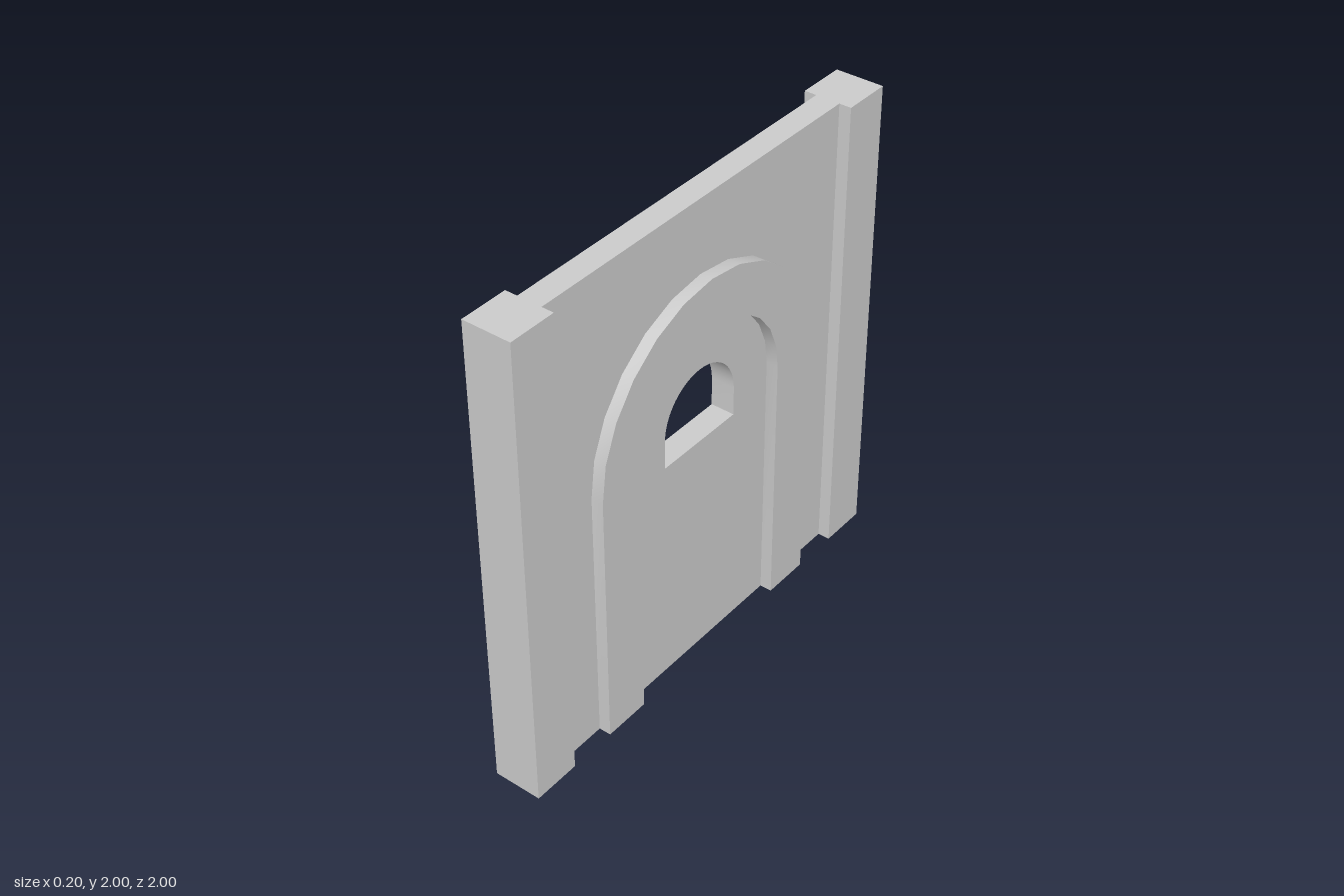
import * as THREE from 'three';
import { toCreasedNormals } from 'three/addons/utils/BufferGeometryUtils.js';

const SPRING = 1.1; // height where every arch starts to curve

export function createModel() {
  const group = new THREE.Group();
  const material = new THREE.MeshStandardMaterial({ color: 0xcccccc });

  const add = (name, geometry, x = 0, y = 0, z = 0) => {
    const mesh = new THREE.Mesh(geometry, material);
    mesh.name = name;
    mesh.position.set(x, y, z);
    group.add(mesh);
  };

  // Extrudes a (z, y) outline along x, centred on x = 0
  const slab = (shape, depth, curveSegments) => {
    const g = new THREE.ExtrudeGeometry(shape, { depth, curveSegments, bevelEnabled: false });
    g.translate(0, 0, -depth / 2).rotateY(-Math.PI / 2);
    return toCreasedNormals(g, 0.5);
  };

  // Wall panel with the arched window opening
  const wall = new THREE.Shape();
  wall.moveTo(-0.8, 0).lineTo(0.8, 0).lineTo(0.8, 2).lineTo(-0.8, 2).closePath();
  const opening = new THREE.Path();
  opening.moveTo(-0.2, 0.98).lineTo(0.2, 0.98).lineTo(0.2, SPRING);
  opening.absarc(0, SPRING, 0.2, 0, Math.PI, false).closePath();
  wall.holes.push(opening);
  add('wall', slab(wall, 0.1, 12));

  // Raised arch band on each face
  const band = new THREE.Shape();
  band.moveTo(0.6, 0).lineTo(0.6, SPRING);
  band.absarc(0, SPRING, 0.6, 0, Math.PI, false);
  band.lineTo(-0.6, 0).lineTo(-0.4, 0).lineTo(-0.4, SPRING);
  band.absarc(0, SPRING, 0.4, Math.PI, 0, true);
  band.lineTo(0.4, 0).closePath();
  const bandGeometry = slab(band, 0.05, 6);

  // Arch bands left and right, end posts front and back
  for (const side of [1, -1]) {
    add(side > 0 ? 'leftArchBand' : 'rightArchBand', bandGeometry, side * 0.075);
    add(side > 0 ? 'frontPost' : 'backPost', new THREE.BoxGeometry(0.2, 2, 0.2), 0, 1, side * 0.9);
  }
  return group;
}
